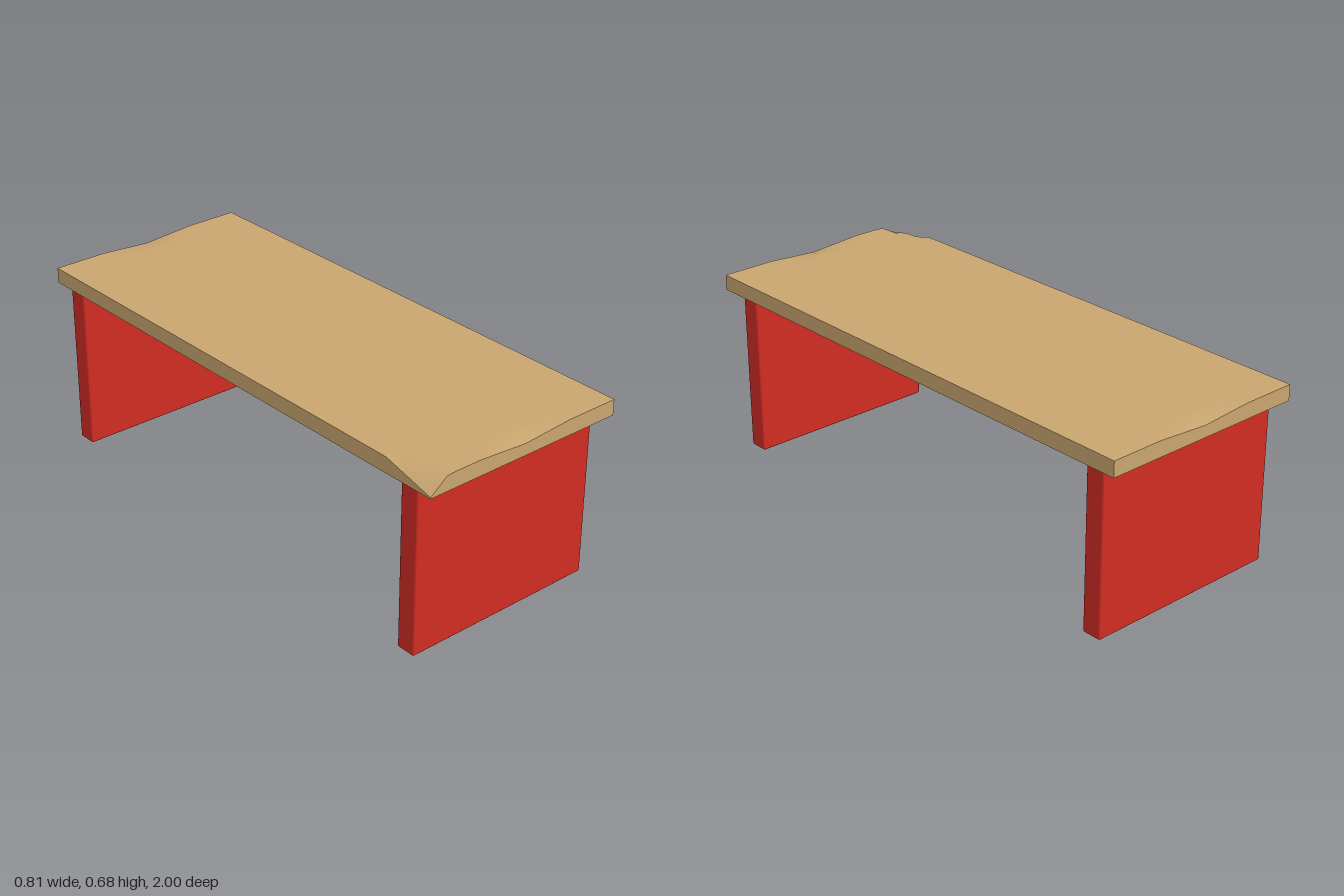
import * as THREE from 'three';
import { RoundedBoxGeometry } from 'three/addons/geometries/RoundedBoxGeometry.js';

const wood = new THREE.MeshStandardMaterial({ color: 0xc8a56f });
wood.name = 'tan wood';
const red = new THREE.MeshStandardMaterial({ color: 0xd02c23 });
red.name = 'red paint';

const TOP = 0.678, UNDER = 0.62, HALF_X = 0.403;
const fade = (distance, reach) => Math.max(0, 1 - distance / reach);

// Plank whose upper surface is worn down at one front corner and mid-way along both ends
function wornPlank() {
  const geometry = new THREE.BoxGeometry(HALF_X * 2, TOP - UNDER, 2, 24, 1, 50);
  const p = geometry.attributes.position;
  for (let i = 0; i < p.count; i++) {
    if (p.getY(i) < 0) continue;
    const x = p.getX(i), z = p.getZ(i);
    const corner = 0.053 * Math.max(0, 1 - (x + HALF_X) / 0.07 - (1 - z) / 0.2);
    const ends = 0.014 * fade(Math.abs(x), 0.2) * fade(1 - Math.abs(z), 0.05);
    p.setY(i, p.getY(i) - Math.max(corner, ends));
  }
  geometry.computeVertexNormals();
  return geometry;
}

export function createModel() {
  const table = new THREE.Group();
  table.name = 'bench';

  const top = new THREE.Mesh(wornPlank(), wood);
  top.name = 'tabletop';
  top.position.y = (TOP + UNDER) / 2;
  table.add(top);

  // Full-width panel legs near each end
  for (const [name, z] of [['frontLegPanel', 0.897], ['backLegPanel', -0.892]]) {
    const leg = new THREE.Mesh(new RoundedBoxGeometry(0.766, UNDER, 0.075, 2, 0.006), red);
    leg.name = name;
    leg.position.set(-0.01, UNDER / 2, z);
    table.add(leg);
  }
  return table;
}
